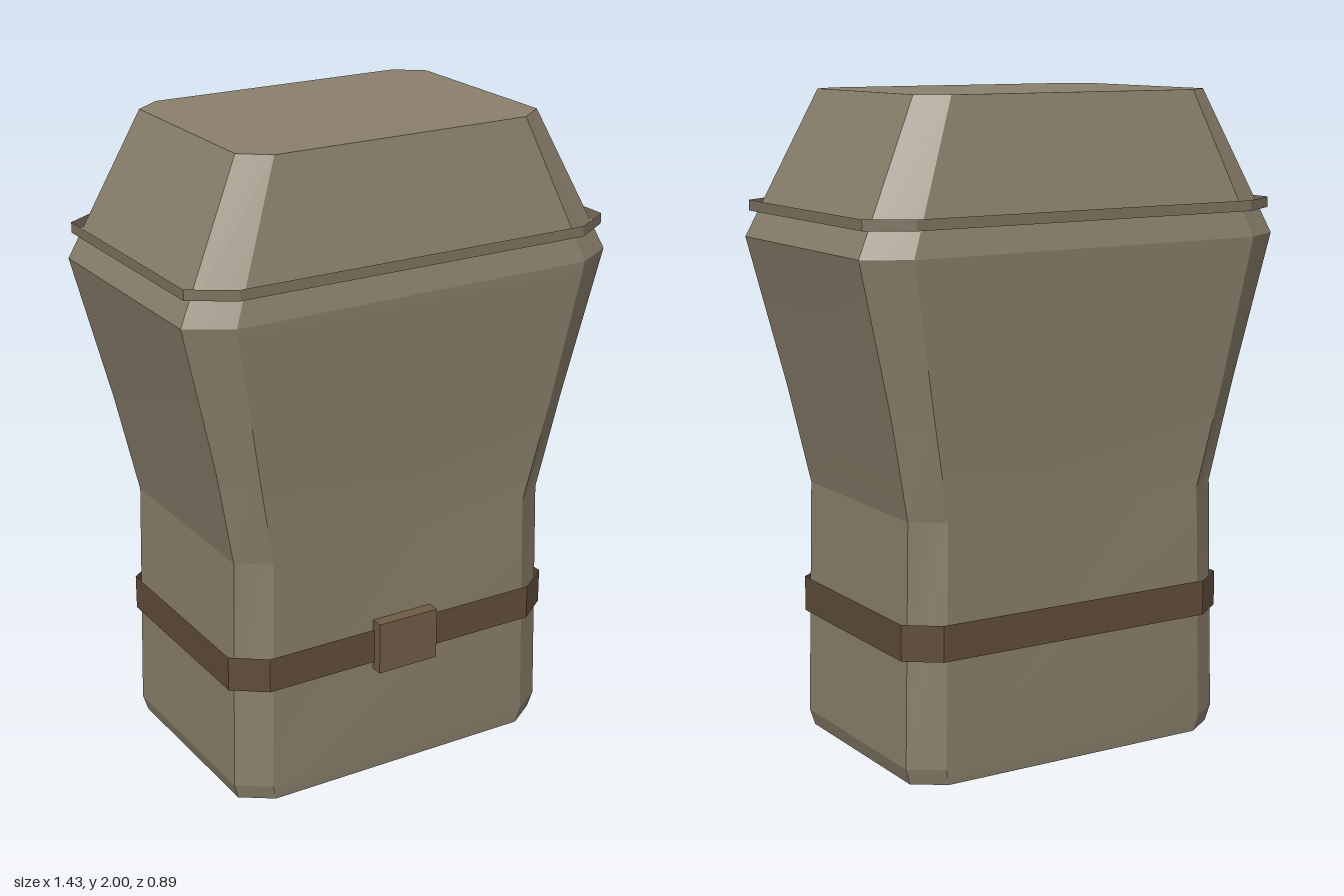
import * as THREE from 'three';
import { toCreasedNormals } from 'three/addons/utils/BufferGeometryUtils.js';

// Chamfered rectangle at height y: half sizes hx, hz; chamfers start at cx, cz
function octagon([y, hx, hz, cx, cz]) {
  return [
    [-cx, hz], [cx, hz], [hx, cz], [hx, -cz],
    [cx, -hz], [-cx, -hz], [-hx, -cz], [-hx, cz],
  ].map(([x, z]) => [x, y, z]);
}

// Skin a stack of chamfered rectangles, listed from bottom to top
function loft(levels, capped) {
  const rings = levels.map(octagon);
  const positions = [];
  const tri = (a, b, c) => positions.push(...a, ...b, ...c);
  for (let l = 0; l < rings.length - 1; l++) {
    const low = rings[l], high = rings[l + 1];
    for (let i = 0; i < 8; i++) {
      const j = (i + 1) % 8;
      tri(low[i], low[j], high[j]);
      tri(low[i], high[j], high[i]);
    }
  }
  if (capped) {
    const bottom = rings[0], top = rings[rings.length - 1];
    for (let i = 1; i < 7; i++) {
      tri(top[0], top[i], top[i + 1]);
      tri(bottom[0], bottom[i + 1], bottom[i]);
    }
  }
  const geometry = new THREE.BufferGeometry();
  geometry.setAttribute('position', new THREE.Float32BufferAttribute(positions, 3));
  return toCreasedNormals(geometry, 0.21);
}

export function createModel() {
  const model = new THREE.Group();
  const add = (name, geometry, color, side = THREE.FrontSide) => {
    const mesh = new THREE.Mesh(geometry, new THREE.MeshStandardMaterial({ color, side }));
    mesh.name = name;
    model.add(mesh);
    return mesh;
  };

  // Tapered bag body, narrow at the waist and wide at the shoulders
  add('body', loft([
    [0, 0.54, 0.375, 0.445, 0.31],
    [0.05, 0.555, 0.382, 0.457, 0.316],
    [0.79, 0.538, 0.375, 0.442, 0.31],
    [1.1, 0.602, 0.408, 0.503, 0.336],
    [1.56, 0.715, 0.447, 0.585, 0.368],
    [2, 0.5, 0.36, 0.415, 0.295],
  ], true), 0x8a7f6b);

  // Thin open lip around the shoulders
  add('lidRim', loft([
    [1.638, 0.702, 0.446, 0.575, 0.365],
    [1.67, 0.702, 0.446, 0.575, 0.365],
  ], false), 0x7d7260, THREE.DoubleSide);

  // Open strap around the waist
  add('strap', loft([
    [0.38, 0.565, 0.386, 0.465, 0.312],
    [0.49, 0.565, 0.386, 0.465, 0.312],
  ], false), 0x5f4c39, THREE.DoubleSide);

  // Buckle at the front of the strap
  add('buckle', new THREE.BoxGeometry(0.205, 0.165, 0.04), 0x6f5b45)
    .position.set(0, 0.437, 0.397);

  return model;
}
